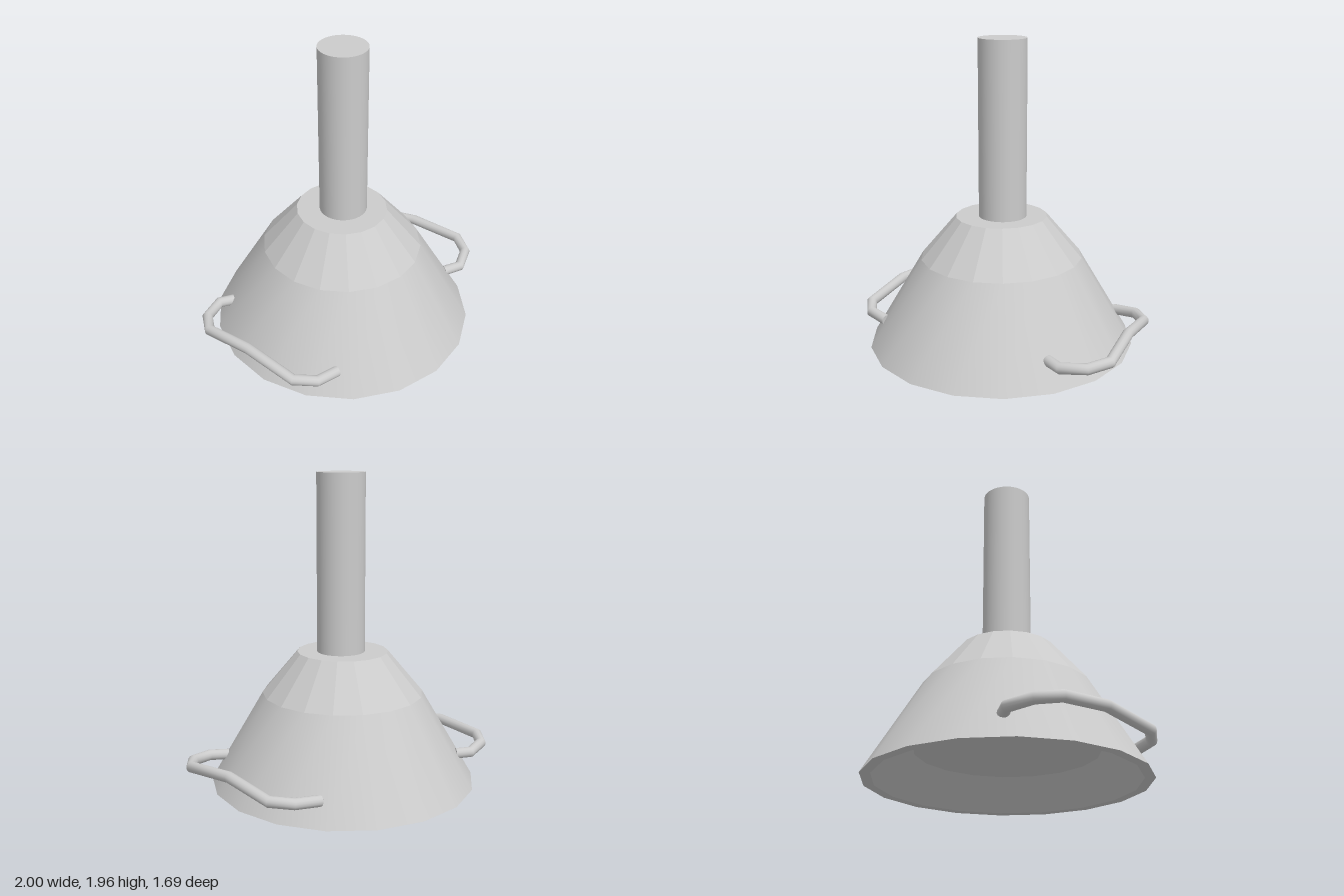
import * as THREE from 'three';

const SIDES = 18;
const smooth = new THREE.MeshStandardMaterial({ color: 0xcccccc, side: THREE.DoubleSide });
const faceted = new THREE.MeshStandardMaterial({ color: 0xcccccc, side: THREE.DoubleSide, flatShading: true });

function part(name, geometry, material, parent) {
  const mesh = new THREE.Mesh(geometry, material);
  mesh.name = name;
  parent.add(mesh);
  return mesh;
}

// Open conical band between two heights, with a corner on the x axis
function band(rTop, rBottom, y0, y1) {
  return new THREE.CylinderGeometry(rTop, rBottom, y1 - y0, SIDES, 1, true, Math.PI / 2)
    .translate(0, (y0 + y1) / 2, 0);
}

// Polyline whose tube rings sit exactly on the bends, mitred
class BentRod extends THREE.Curve {
  constructor(points) {
    super();
    this.points = points;
  }
  getPoint(t, target = new THREE.Vector3()) {
    const p = this.points;
    const s = t * (p.length - 1);
    const i = Math.min(Math.floor(s + 1e-6), p.length - 2);
    return target.lerpVectors(p[i], p[i + 1], s - i);
  }
  getPointAt(u, target) {
    return this.getPoint(u, target);
  }
  getTangentAt(u, target = new THREE.Vector3()) {
    const p = this.points;
    const i = Math.round(u * (p.length - 1));
    target.set(0, 0, 0);
    if (i > 0) target.add(p[i].clone().sub(p[i - 1]).normalize());
    if (i < p.length - 1) target.add(p[i + 1].clone().sub(p[i]).normalize());
    return target.normalize();
  }
}

function handle(name, coords) {
  const group = new THREE.Group();
  group.name = name;
  const points = coords.map((c) => new THREE.Vector3(...c));
  const n = points.length;
  const radius = 0.034;
  part('handleRod', new THREE.TubeGeometry(new BentRod(points), n - 1, radius, 14), smooth, group);
  // End caps
  for (const [end, inner] of [[0, 1], [n - 1, n - 2]]) {
    const cap = part('handleEnd', new THREE.CircleGeometry(radius, 14), smooth, group);
    cap.position.copy(points[end]);
    cap.lookAt(points[end].clone().multiplyScalar(2).sub(points[inner]));
  }
  return group;
}

export function createModel() {
  const model = new THREE.Group();

  // Hollow conical base
  const base = new THREE.Group();
  base.name = 'base';
  base.position.x = -0.022;
  base.scale.z = 1.02;
  model.add(base);
  part('skirt', band(0.51, 0.843, 0, 0.57), smooth, base);
  part('shoulder', band(0.287, 0.51, 0.57, 0.837), faceted, base);
  part('shoulderTop', new THREE.CircleGeometry(0.287, SIDES).rotateX(-Math.PI / 2).translate(0, 0.837, 0), smooth, base);
  part('rim', new THREE.RingGeometry(0.78, 0.843, SIDES).rotateX(Math.PI / 2), smooth, base);
  part('innerWall', band(0.55, 0.78, 0, 0.18), faceted, base);
  part('innerCeiling', new THREE.CircleGeometry(0.55, SIDES).rotateX(Math.PI / 2).translate(0, 0.18, 0), smooth, base);

  // Upright stem
  const stem = part('stem', new THREE.CylinderGeometry(0.151, 0.151, 1.12, 48), smooth, model);
  stem.position.set(-0.011, 1.395, 0);

  // Bent side handles
  model.add(handle('leftHandle', [
    [0.39, 0.14, -0.64], [0.555, 0.158, -0.665], [0.682, 0.165, -0.595], [0.82, 0.217, -0.28],
    [0.965, 0.188, 0.04], [0.92, 0.175, 0.18], [0.79, 0.162, 0.273], [0.67, 0.158, 0.25],
  ]));
  model.add(handle('rightHandle', [
    [-0.47, 0.14, 0.605], [-0.62, 0.153, 0.615], [-0.742, 0.165, 0.535], [-0.86, 0.217, 0.2],
    [-0.967, 0.188, -0.11], [-0.915, 0.175, -0.245], [-0.78, 0.162, -0.337], [-0.685, 0.158, -0.315],
  ]));

  return model;
}
